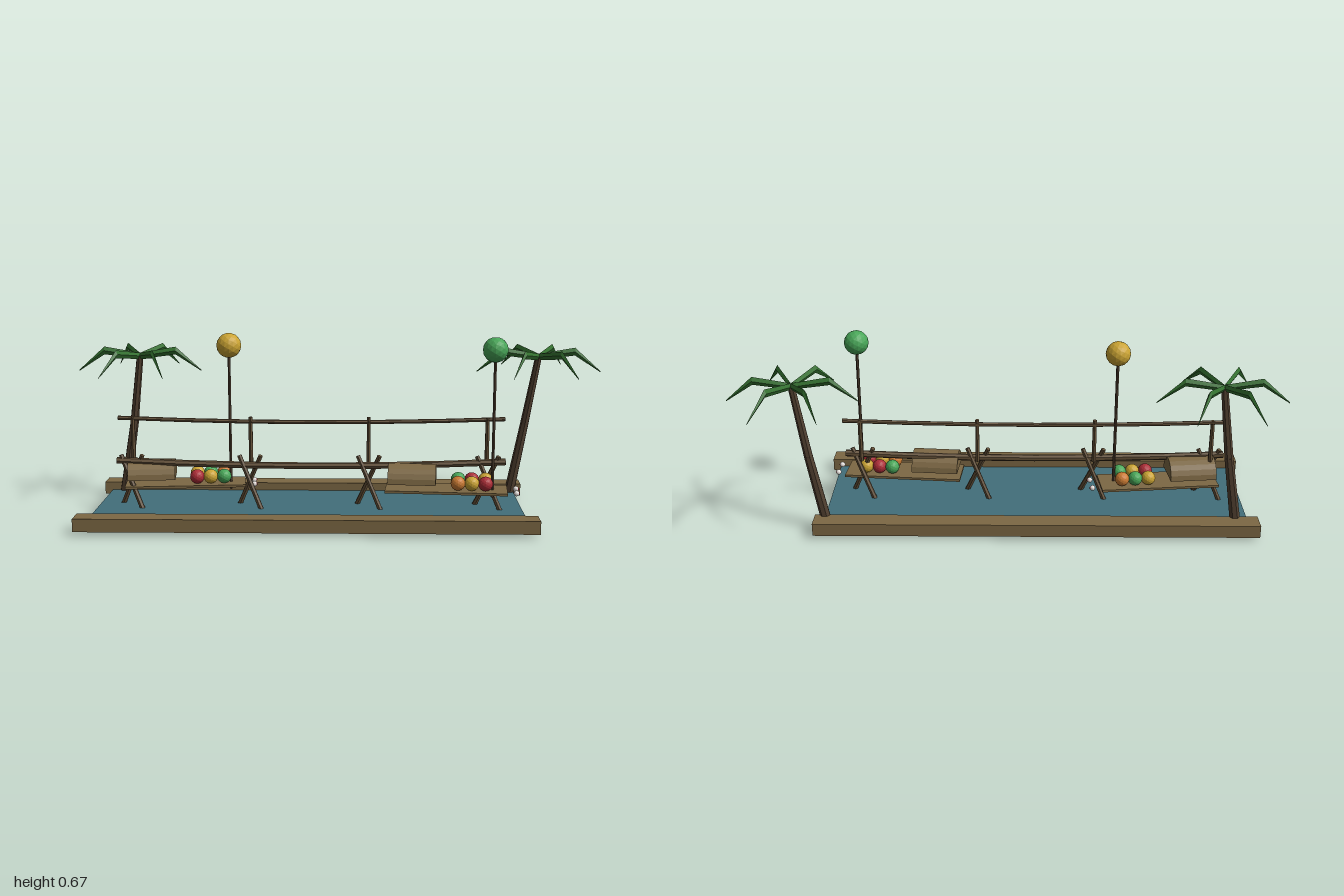
import * as THREE from 'three';

const mat = (name, color) => {
  const m = new THREE.MeshStandardMaterial({ color });
  m.name = name;
  return m;
};

export function createModel() {
  const tan = mat('tan wood', 0x7d6844);
  const wood = mat('brown wood', 0x655138);
  const bark = mat('dark bark', 0x514030);
  const water = mat('canal water', 0x426f7b);
  const leaf = mat('palm green', 0x33702f);
  const red = mat('red', 0xab2c36);
  const yellow = mat('yellow', 0xcba433);
  const green = mat('green', 0x48a658);
  const orange = mat('orange', 0xcb7b33);
  const white = mat('white', 0xe6e0dc);

  const root = new THREE.Group();
  const V = (x, y, z) => new THREE.Vector3(x, y, z);

  // Facet a geometry so that every face has its own normal
  const flat = (g) => {
    const f = g.index ? g.toNonIndexed() : g;
    f.computeVertexNormals();
    return f;
  };
  const add = (parent, name, geo, material, x = 0, y = 0, z = 0) => {
    const m = new THREE.Mesh(geo, material);
    m.name = name;
    m.position.set(x, y, z);
    parent.add(m);
    return m;
  };
  // Round pole between two points
  const pole = (parent, name, a, b, rA, rB, material, sides = 6) => {
    const geo = flat(new THREE.CylinderGeometry(rB, rA, a.distanceTo(b), sides));
    const m = add(parent, name, geo, material);
    m.position.copy(a).lerp(b, 0.5);
    m.quaternion.setFromUnitVectors(V(0, 1, 0), b.clone().sub(a).normalize());
    return m;
  };
  const ball = (parent, name, r, material, x, y, z) =>
    add(parent, name, flat(new THREE.IcosahedronGeometry(r, 2)), material, x, y, z);

  // Canal and its two banks
  add(root, 'water', new THREE.BoxGeometry(1.57, 0.008, 0.475), water, -0.105, 0.028, 0.055);
  add(root, 'frontBank', new THREE.BoxGeometry(1.63, 0.047, 0.077), tan, -0.105, 0.038, 0.329);
  add(root, 'backBank', new THREE.BoxGeometry(1.63, 0.047, 0.077), tan, -0.105, 0.038, -0.218);

  // Bent leaf: diamond sections along +x as [x, middle y, half height, half width]
  const leafGeometry = () => {
    const rows = [[0, -0.006, 0.012, 0.007], [0.137, 0.015, 0.015, 0.008], [0.236, -0.062, 0.002, 0.001]];
    const pos = [], index = [];
    for (const [x, y, h, w] of rows)
      for (let k = 0; k < 4; k++)
        pos.push(x, y + h * Math.cos(k * Math.PI / 2), w * Math.sin(k * Math.PI / 2));
    for (let i = 0; i < rows.length - 1; i++)
      for (let k = 0; k < 4; k++) {
        const a = i * 4 + k, d = i * 4 + (k + 1) % 4;
        index.push(a, d, d + 4, a, d + 4, a + 4);
      }
    index.push(8, 9, 10, 8, 10, 11);
    const g = new THREE.BufferGeometry();
    g.setAttribute('position', new THREE.Float32BufferAttribute(pos, 3));
    g.setIndex(index);
    return flat(g);
  };

  // Leaning palms with a slight kink in the trunk
  const palm = (name, baseX, midX, topX) => {
    const g = new THREE.Group();
    g.name = name;
    root.add(g);
    const mid = V(midX, 0.3, -0.179);
    pole(g, 'lowerTrunk', V(baseX, 0.02, -0.179), mid, 0.02, 0.0165, bark, 7);
    pole(g, 'upperTrunk', mid, V(topX, 0.57, -0.165), 0.0165, 0.013, bark, 7);
    const geo = leafGeometry();
    for (let i = 0; i < 6; i++)
      add(g, 'palmLeaf', geo, leaf, topX, 0.57, -0.165).rotation.y = i * Math.PI / 3;
  };
  palm('rightPalm', -0.842, -0.797, -0.764);
  palm('leftPalm', 0.665, 0.718, 0.764);

  // Pole bridge: crossed legs and handrail posts
  const bridge = new THREE.Group();
  bridge.name = 'bridge';
  root.add(bridge);
  for (let i = 0; i < 4; i++) {
    const x = -0.765 + i * 0.44;
    pole(bridge, 'frontLeg', V(x + 0.053, 0.006, 0.103), V(x - 0.04, 0.223, 0.053), 0.01, 0.009, wood);
    pole(bridge, 'backLeg', V(x - 0.053, 0.006, 0.011), V(x + 0.04, 0.223, 0.059), 0.01, 0.009, wood);
    pole(bridge, 'railPost', V(x, 0.19, 0.015), V(x, 0.36, 0.015), 0.009, 0.008, wood);
  }

  // Sagging footpole and handrail
  const sagging = (name, y, sag, z, r) => {
    const points = [];
    for (let i = 0; i <= 6; i++) {
      const t = i / 3 - 1;
      points.push(V(-0.1 + t * 0.72, y - sag * (1 - t * t), z));
    }
    for (let i = 0; i < 6; i++) pole(bridge, name, points[i], points[i + 1], r, r, wood, 7);
  };
  sagging('footPole', 0.202, 0.018, 0.056, 0.013);
  sagging('handrail', 0.355, 0.014, 0.014, 0.008);

  // Half-round cabin lying along x
  const cabinShape = new THREE.Shape();
  cabinShape.absarc(0, 0, 0.066, 0, Math.PI, false);
  cabinShape.closePath();
  const cabinGeo = flat(new THREE.ExtrudeGeometry(cabinShape, { depth: 0.175, bevelEnabled: false, curveSegments: 5 }));
  cabinGeo.translate(0, 0, -0.0875);
  cabinGeo.rotateY(Math.PI / 2);

  // Market boats with cabin, fruit, mast and bow flowers
  const boat = (name, x, z, turn, frontFruit, backFruit, topColor) => {
    const g = new THREE.Group();
    g.name = name;
    g.position.set(x, 0, z);
    g.rotation.y = turn;
    root.add(g);
    add(g, 'deck', new THREE.BoxGeometry(0.445, 0.009, 0.136), tan, 0, 0.108, 0);
    add(g, 'cabin', cabinGeo, tan, -0.125, 0.135, 0);
    [frontFruit, backFruit].forEach((row, r) => row.forEach((m, i) =>
      ball(g, 'fruit', 0.027, m, 0.043 + i * 0.05, 0.139, r ? -0.032 : 0.032)));
    pole(g, 'mast', V(0.168, 0.085, 0.01), V(0.168, 0.6, 0.01), 0.006, 0.006, bark);
    ball(g, 'mastBall', 0.046, topColor, 0.168, 0.627, 0.01);
    for (const s of [-1, 1]) {
      ball(g, 'flower', 0.0105, white, 0.255, 0.107, s * 0.034);
      ball(g, 'flowerHeart', 0.007, red, 0.26, 0.107, s * 0.034);
    }
  };
  boat('rightBoat', -0.57, 0.017, 0.105, [red, yellow, green], [yellow, green, orange], yellow);
  boat('leftBoat', 0.4, 0.096, -0.085, [orange, yellow, red], [green, red, yellow], green);

  return root;
}
